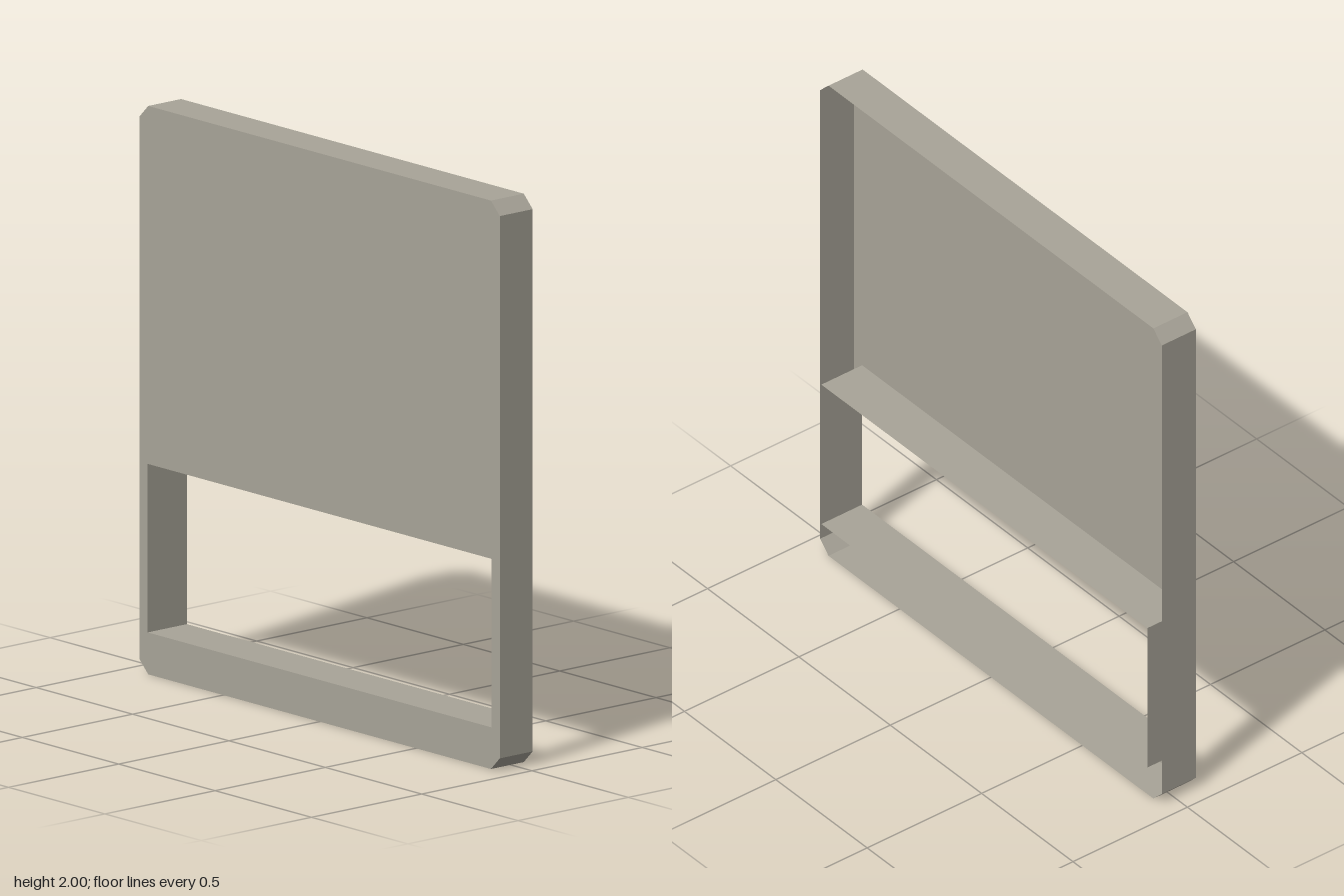
import * as THREE from 'three';

const FRONT = 0.089, RIM_BACK = -0.06, SLEEVE_BACK = -0.089;

// Open band of flat walls following a closed outline between two depths
function wallBand(points, zFront, zBack) {
  const pos = [];
  points.forEach((a, i) => {
    const b = points[(i + 1) % points.length];
    pos.push(
      a.x, a.y, zFront, a.x, a.y, zBack, b.x, b.y, zBack,
      a.x, a.y, zFront, b.x, b.y, zBack, b.x, b.y, zFront);
  });
  const geo = new THREE.BufferGeometry();
  geo.setAttribute('position', new THREE.Float32BufferAttribute(pos, 3));
  geo.computeVertexNormals();
  return geo;
}

export function createModel() {
  const group = new THREE.Group();
  const putty = new THREE.MeshStandardMaterial({ color: 0xa8a498, side: THREE.DoubleSide });
  putty.name = 'putty grey';

  const add = (name, geometry) => {
    const mesh = new THREE.Mesh(geometry, putty);
    mesh.name = name;
    group.add(mesh);
  };
  const toPoints = (list) => list.map(([x, y]) => new THREE.Vector2(x, y));

  // Outline with chamfered corners, anticlockwise
  const w = 0.935, h = 2, c = 0.046;
  const outline = toPoints([
    [-w + c, 0], [w - c, 0], [w, c], [w, h - c],
    [w - c, h], [-w + c, h], [-w, h - c], [-w, c],
  ]);

  // Rectangular opening, clockwise
  const ow = 0.892, y0 = 0.147, y1 = 0.74;
  const opening = toPoints([[-ow, y0], [-ow, y1], [ow, y1], [ow, y0]]);

  // Thin front sheet with the opening cut out
  const sheet = new THREE.Shape(outline);
  sheet.holes.push(new THREE.Path(opening));
  add('frontPanel', new THREE.ShapeGeometry(sheet).translate(0, 0, FRONT));

  // Outer rim and the deeper sleeve around the opening
  add('outerRim', wallBand(outline, FRONT, RIM_BACK));
  add('openingSleeve', wallBand(opening, FRONT, SLEEVE_BACK));

  return group;
}
